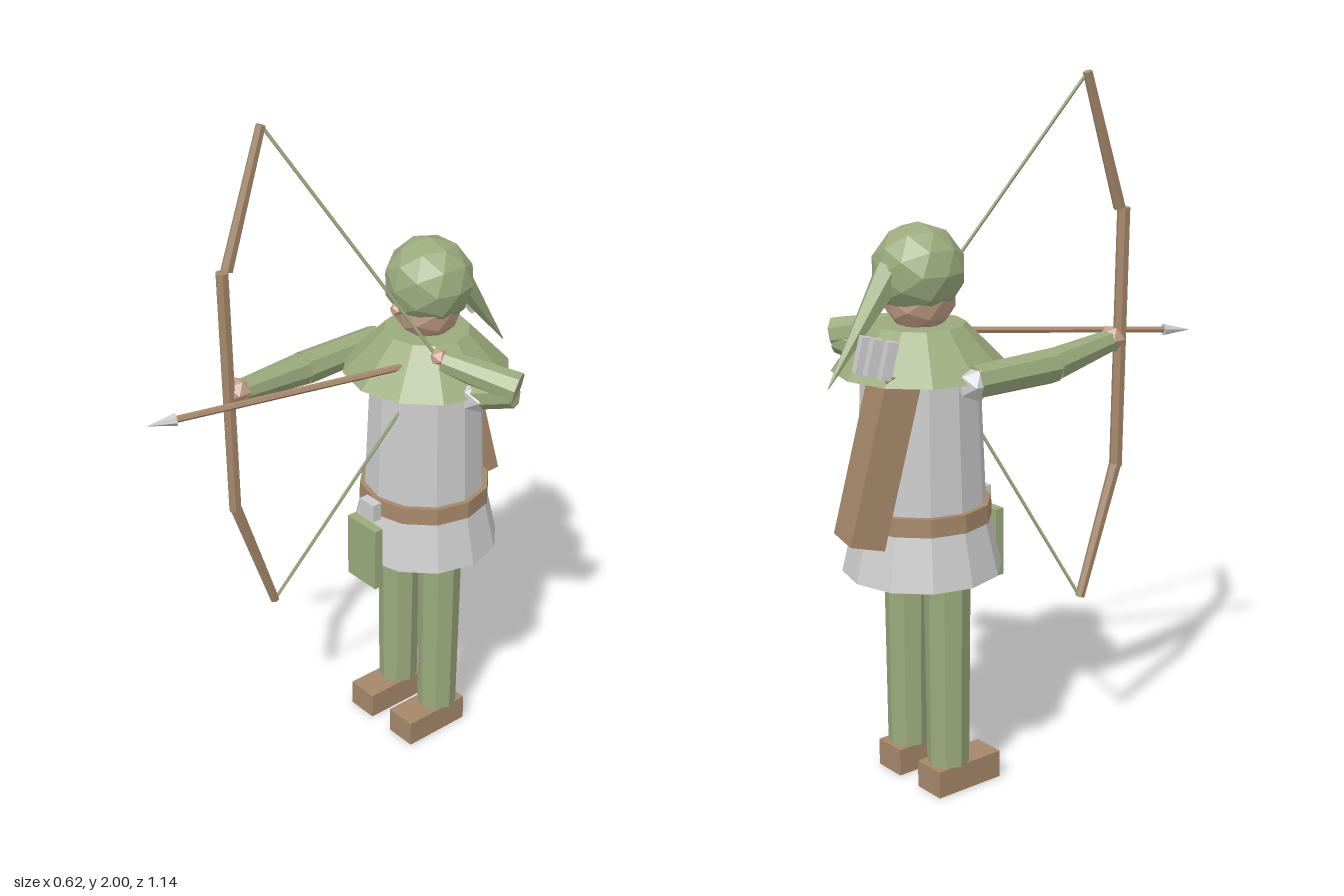
import * as THREE from 'three';

const paint = (color) => new THREE.MeshStandardMaterial({ color, flatShading: true });

export function createModel() {
  const model = new THREE.Group();
  const green = paint(0x9aaa7c), brown = paint(0xa5876a), skin = paint(0xc4a08a), grey = paint(0xcccccc);
  const CX = -0.045, CZ = -0.265; // body axis

  const add = (name, geometry, material, x, y, z) => {
    const mesh = new THREE.Mesh(geometry, material);
    mesh.name = name;
    mesh.position.set(x, y, z);
    model.add(mesh);
    return mesh;
  };
  const box = (name, mat, w, h, d, x, y, z) => add(name, new THREE.BoxGeometry(w, h, d), mat, x, y, z);
  const ball = (name, mat, r, detail, x, y, z) => add(name, new THREE.IcosahedronGeometry(r, detail), mat, x, y, z);
  // upright body ring between two heights
  const ring = (name, mat, rTop, rBottom, yTop, yBottom) =>
    add(name, new THREE.CylinderGeometry(rTop, rBottom, yTop - yBottom, 12), mat, CX, (yTop + yBottom) / 2, CZ);
  // tapered rod from point a to point b
  const rod = (name, mat, a, b, ra, rb, sides = 8) => {
    const p = new THREE.Vector3(...a), q = new THREE.Vector3(...b);
    const dir = q.clone().sub(p);
    const mid = p.clone().add(q).multiplyScalar(0.5);
    const mesh = add(name, new THREE.CylinderGeometry(rb, ra, dir.length(), sides), mat, mid.x, mid.y, mid.z);
    mesh.quaternion.setFromUnitVectors(new THREE.Vector3(0, 1, 0), dir.normalize());
    return mesh;
  };

  // legs and boots
  for (const [side, s] of [['right', -1], ['left', 1]]) {
    box(side + 'Boot', brown, 0.1, 0.08, 0.22, CX + s * 0.0925, 0.04, -0.21);
    rod(side + 'Leg', green, [CX + s * 0.0925, 0.08, -0.25], [CX + s * 0.0925, 0.72, -0.25], 0.06, 0.066);
    ball(side + 'ShoulderGuard', grey, 0.05, 0, CX + s * 0.22, 1.215, -0.255);
  }

  // tunic, belt and shoulder cape
  ring('skirt', grey, 0.185, 0.225, 0.82, 0.645);
  ring('chest', grey, 0.163, 0.182, 1.26, 0.8);
  ring('belt', brown, 0.195, 0.197, 0.847, 0.795);
  ring('shoulderCape', green, 0.125, 0.245, 1.345, 1.22);
  box('buckle', grey, 0.062, 0.055, 0.03, CX, 0.818, -0.055);
  box('frontFlap', green, 0.125, 0.2, 0.028, CX + 0.002, 0.68, -0.033);

  // head and hood
  ball('head', skin, 0.102, 1, CX, 1.42, CZ);
  ball('nose', skin, 0.02, 0, CX, 1.435, -0.15);
  ball('hood', green, 0.13, 1, CX, 1.49, -0.27);
  rod('hoodTail', green, [CX, 1.5, -0.36], [CX, 1.21, -0.57], 0.045, 0.002, 6);

  // right arm, holding the bow
  const shoulderR = [-0.265, 1.22, -0.26], elbowR = [-0.26, 1.22, 0.02];
  rod('rightUpperArm', green, shoulderR, elbowR, 0.046, 0.05);
  rod('rightForearm', green, elbowR, [-0.225, 1.245, 0.27], 0.048, 0.033);
  ball('rightHand', skin, 0.04, 0, -0.225, 1.25, 0.275);

  // left arm, drawing the string
  const elbowL = [0.285, 1.262, -0.312], handL = [0.075, 1.32, -0.195];
  rod('leftUpperArm', green, [0.175, 1.22, -0.26], [0.275, 1.25, -0.305], 0.045, 0.045);
  rod('leftForearm', green, elbowL, [0.095, 1.31, -0.205], 0.048, 0.034);
  ball('leftHand', skin, 0.028, 0, 0.082, 1.318, -0.197);

  // bow limbs and grip
  const BX = -0.225;
  const tipTop = [BX, 2, 0.17], tipBottom = [BX, 0.5, 0.17];
  rod('upperLimb', brown, [BX, 1.62, 0.298], tipTop, 0.018, 0.014, 6);
  rod('bowGrip', brown, [BX, 0.87, 0.302], [BX, 1.62, 0.314], 0.019, 0.019, 6);
  rod('lowerLimb', brown, [BX, 0.875, 0.3], tipBottom, 0.018, 0.014, 6);

  // bowstring
  rod('upperString', green, tipTop, handL, 0.005, 0.005, 5);
  rod('lowerString', green, tipBottom, handL, 0.005, 0.005, 5);

  // nocked arrow
  const neck = [-0.212, 1.242, 0.495];
  rod('arrowShaft', brown, [0.05, 1.297, -0.2], neck, 0.01, 0.01, 6);
  rod('arrowHead', grey, neck, [-0.24, 1.236, 0.57], 0.018, 0.001, 6);

  // quiver with spare arrows, leaning on the back
  const lean = (mesh) => mesh.rotation.set(0.24, -0.27, 0, 'YXZ');
  lean(box('quiver', brown, 0.13, 0.47, 0.1, -0.1, 1.01, -0.455));
  [[-0.245, -0.522], [-0.195, -0.531], [-0.158, -0.54]].forEach(([x, z], i) =>
    lean(box('spareArrow' + (i + 1), grey, 0.028, 0.1, 0.028, x, 1.317, z)));

  return model;
}
